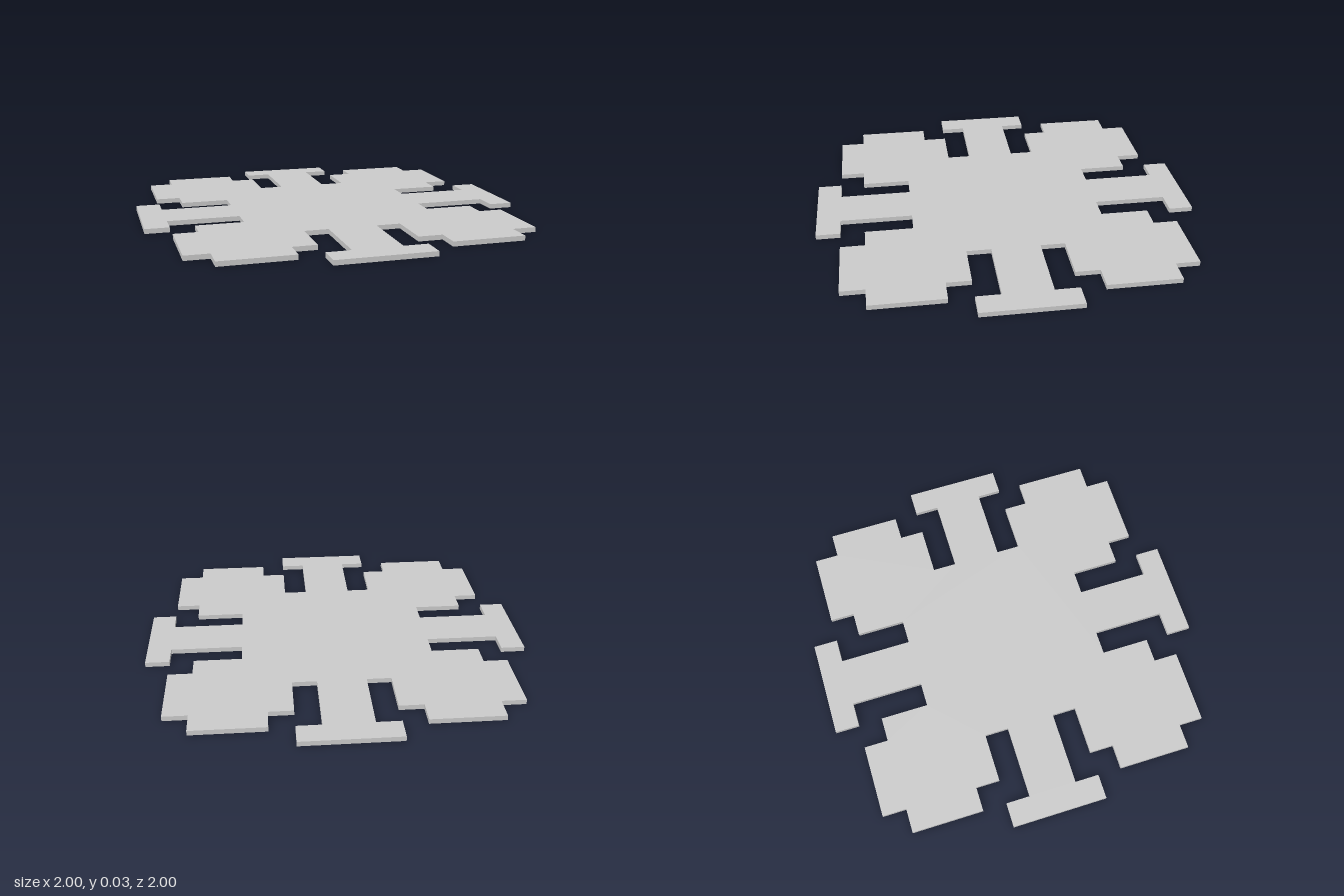
import * as THREE from 'three';

const THICKNESS = 0.025;

// One quarter of the outline in eighths of a unit; the plate repeats it four times
const QUARTER = [
  [8, -2], [8, 2], [7, 2], [7, 1], [4, 1], [4, 2],      // end bar, stem and notch
  [6, 2], [6, 3], [7, 3], [7, 6], [6, 6], [6, 7],       // stepped corner lobe
  [3, 7], [3, 6], [2, 6], [2, 4], [1, 4], [1, 7], [2, 7], // notch and next stem
];

export function createModel() {
  const group = new THREE.Group();
  group.name = 'snowflakePlate';

  // Turn the quarter outline by 90 degrees each time
  const points = [];
  let quarter = QUARTER;
  for (let i = 0; i < 4; i++) {
    points.push(...quarter.map(([x, y]) => new THREE.Vector2(x / 8, y / 8)));
    quarter = quarter.map(([x, y]) => [-y, x]);
  }

  // Flat plate lying on the ground
  const geometry = new THREE.ExtrudeGeometry(new THREE.Shape(points), {
    depth: THICKNESS,
    bevelEnabled: false,
  });
  geometry.rotateX(-Math.PI / 2);

  const plate = new THREE.Mesh(
    geometry,
    new THREE.MeshStandardMaterial({ color: 0xcccccc, flatShading: true })
  );
  plate.name = 'plate';
  group.add(plate);
  return group;
}
